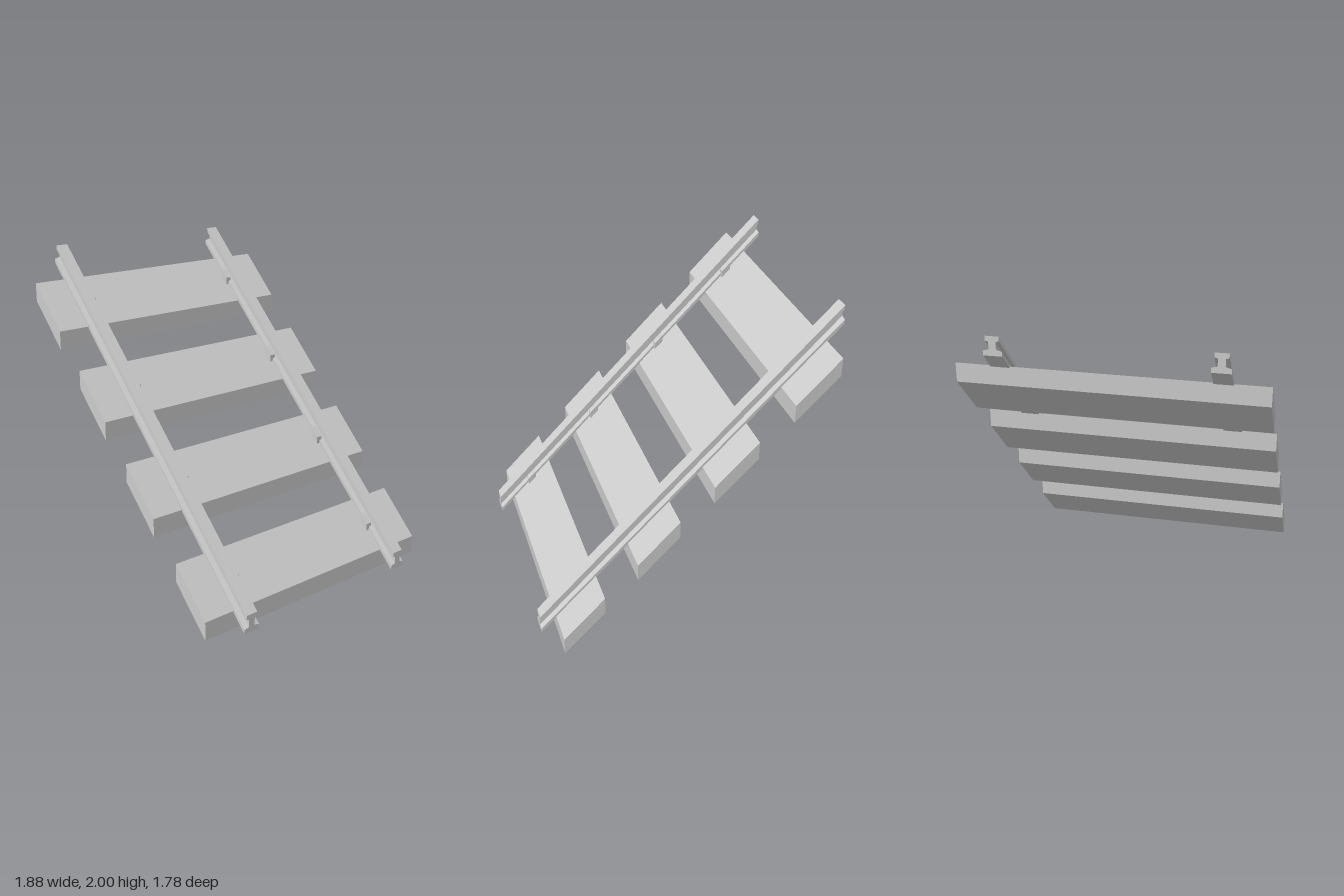
import * as THREE from 'three';

const material = new THREE.MeshStandardMaterial({ color: 0xcccccc, flatShading: true });

// The track is laid out flat, then sheared into a 45 degree slope with upright ends
const slope = new THREE.Matrix4().set(
  1, 0, 0, 0,
  -1, 1, 0, 0,
  0, 0, 1, 0,
  0, 0, 0, 1);

function addPart(group, name, geometry) {
  geometry.applyMatrix4(slope);
  const mesh = new THREE.Mesh(geometry, material);
  mesh.name = name;
  group.add(mesh);
}

// Sweeps a cross-section of [z, y] points along x, centred on x
function sweepAlongX(points, length, x) {
  const shape = new THREE.Shape(points.map(([z, y]) => new THREE.Vector2(-z, y)));
  return new THREE.ExtrudeGeometry(shape, { depth: length, bevelEnabled: false })
    .rotateY(Math.PI / 2)
    .translate(x - length / 2, 0, 0);
}

export function createModel() {
  const track = new THREE.Group();
  track.name = 'slopedTrack';
  const sleeperX = [-0.708, -0.236, 0.236, 0.708];

  // Sleepers
  for (const x of sleeperX) {
    addPart(track, 'sleeper', new THREE.BoxGeometry(0.264, 0.115, 1.776).translate(x, 0.8975, 0));
  }

  // Half of the rail section as [offset from the web centre, y], bottom to top
  const half = [
    [0.055, 0.947], [0.055, 0.975], [0.021, 0.984],
    [0.021, 1.027], [0.04, 1.034], [0.04, 1.06],
  ];
  const railSection = [...half, ...half.map(([z, y]) => [-z, y]).reverse()];

  // Hooked clip section: a foot beside the rail flange and a lip over it
  const clipSection = [
    [0.547, 0.955], [0.569, 0.955], [0.569, 0.975],
    [0.588, 0.975], [0.588, 1.0], [0.547, 1.0],
  ];

  for (const side of [1, -1]) {
    // Rails
    const section = railSection.map(([z, y]) => [z + side * 0.626, y]);
    addPart(track, side > 0 ? 'frontRail' : 'backRail', sweepAlongX(section, 1.88, 0));

    // Clips on the inner side of each rail
    const clip = clipSection.map(([z, y]) => [side * z, y]);
    for (const x of sleeperX) addPart(track, 'railClip', sweepAlongX(clip, 0.055, x));
  }
  return track;
}
